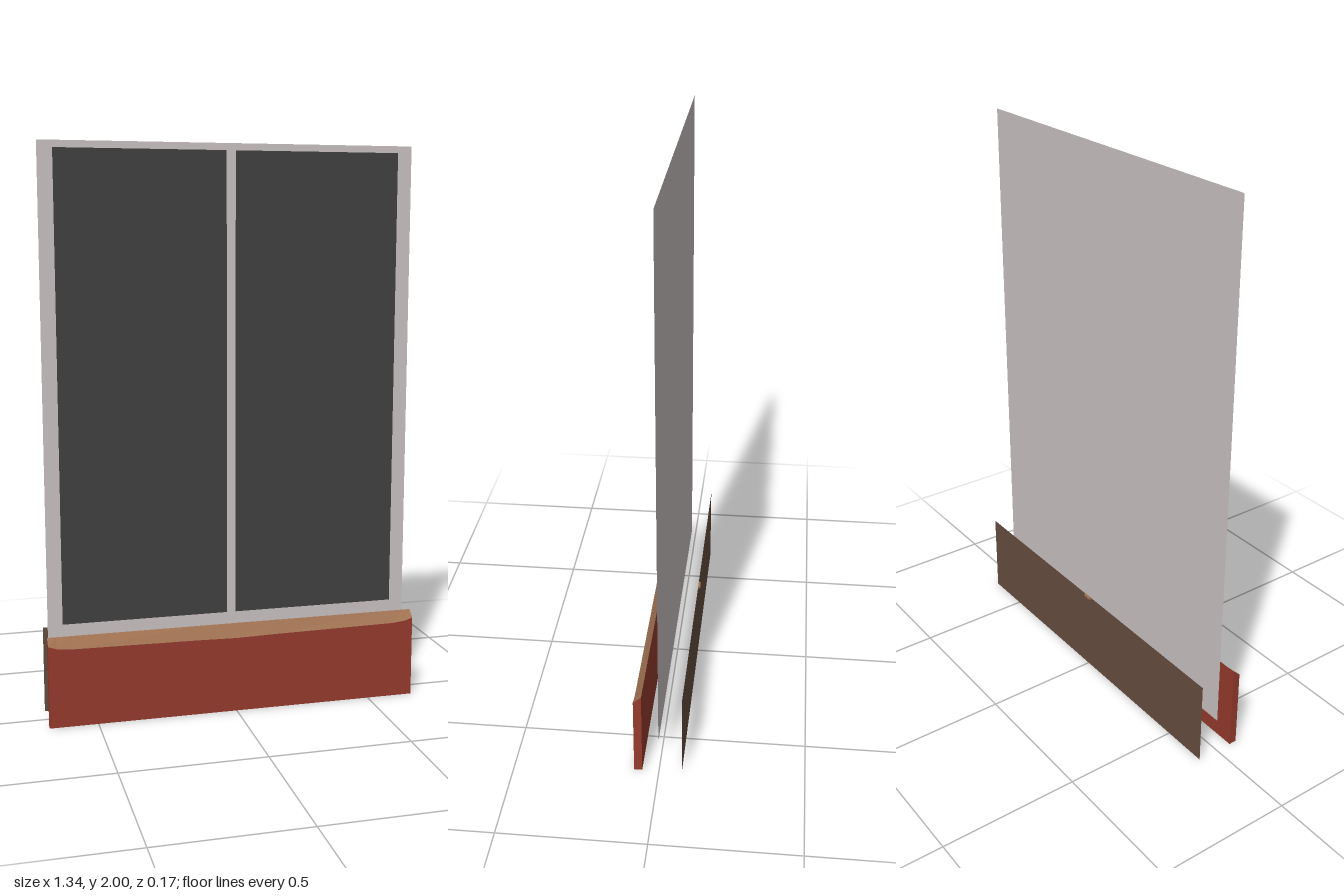
import * as THREE from 'three';

const mat = (name, color, side = THREE.FrontSide) => {
  const m = new THREE.MeshStandardMaterial({ color, side });
  m.name = name;
  return m;
};

export function createModel() {
  const red = mat('red paint', 0x963b2c);
  const tan = mat('worn tan edge', 0xa07252);
  const brown = mat('brown board', 0x664e40, THREE.DoubleSide);
  const grey = mat('pale grey frame', 0xcac2c2, THREE.DoubleSide);
  const dark = mat('dark pane', 0x414141);

  const model = new THREE.Group();
  model.name = 'panelWithBoards';
  const add = (name, geometry, material) => {
    const mesh = new THREE.Mesh(geometry, material);
    mesh.name = name;
    model.add(mesh);
    return mesh;
  };
  // Upright rectangle between two corners at depth z
  const sheet = (name, x0, x1, y0, y1, z, material) =>
    add(name, new THREE.PlaneGeometry(x1 - x0, y1 - y0), material)
      .position.set((x0 + x1) / 2, (y0 + y1) / 2, z);

  // Tall panel with two dark panes
  sheet('framePanel', -0.661, 0.661, 0.126, 2, 0.002, grey);
  for (const s of [-1, 1]) {
    const xs = [s * 0.016, s * 0.609].sort((a, b) => a - b);
    sheet(s < 0 ? 'rightPane' : 'leftPane', xs[0], xs[1], 0.344, 1.976, 0.005, dark);
  }

  // Front board: cross-sections along x, with a bevel that narrows at the ends
  const stations = [[-0.67, 0.294], [-0.64, 0.284], [-0.59, 0.279], [-0.14, 0.274], [0, 0.271],
    [0.14, 0.274], [0.59, 0.279], [0.64, 0.284], [0.67, 0.294]];
  const rings = stations.map(([x, y]) => [
    [x, 0, 0.058], [x, 0, 0.086], [x, y, 0.086], [x, 0.318, 0.058],
  ]);
  const body = [], bevel = [];
  const quad = (out, a, b, c, d) => out.push(...a, ...b, ...c, ...a, ...c, ...d);
  for (let i = 0; i < rings.length - 1; i++) {
    for (let k = 0; k < 4; k++) {
      const n = (k + 1) % 4;
      quad(k === 2 ? bevel : body, rings[i][k], rings[i + 1][k], rings[i + 1][n], rings[i][n]);
    }
  }
  quad(body, ...rings[0]);
  quad(body, ...rings[rings.length - 1].slice().reverse());
  const toGeometry = (points) => {
    const g = new THREE.BufferGeometry();
    g.setAttribute('position', new THREE.Float32BufferAttribute(points, 3));
    g.computeVertexNormals();
    return g;
  };
  add('frontBoard', toGeometry(body), red);
  add('frontBoardBevel', toGeometry(bevel), tan);

  // Back board with a small tapered nub on its top edge
  sheet('backBoard', -0.67, 0.67, 0, 0.312, -0.079, brown);
  const nub = new THREE.Shape([[-0.018, 0.079], [0.018, 0.079], [0.013, 0.087], [-0.013, 0.087]]
    .map(([x, y]) => new THREE.Vector2(x, y)));
  const nubGeometry = new THREE.ExtrudeGeometry(nub, { depth: 0.008, bevelEnabled: false });
  nubGeometry.rotateX(-Math.PI / 2);
  add('backNub', nubGeometry, tan).position.y = 0.306;

  return model;
}
